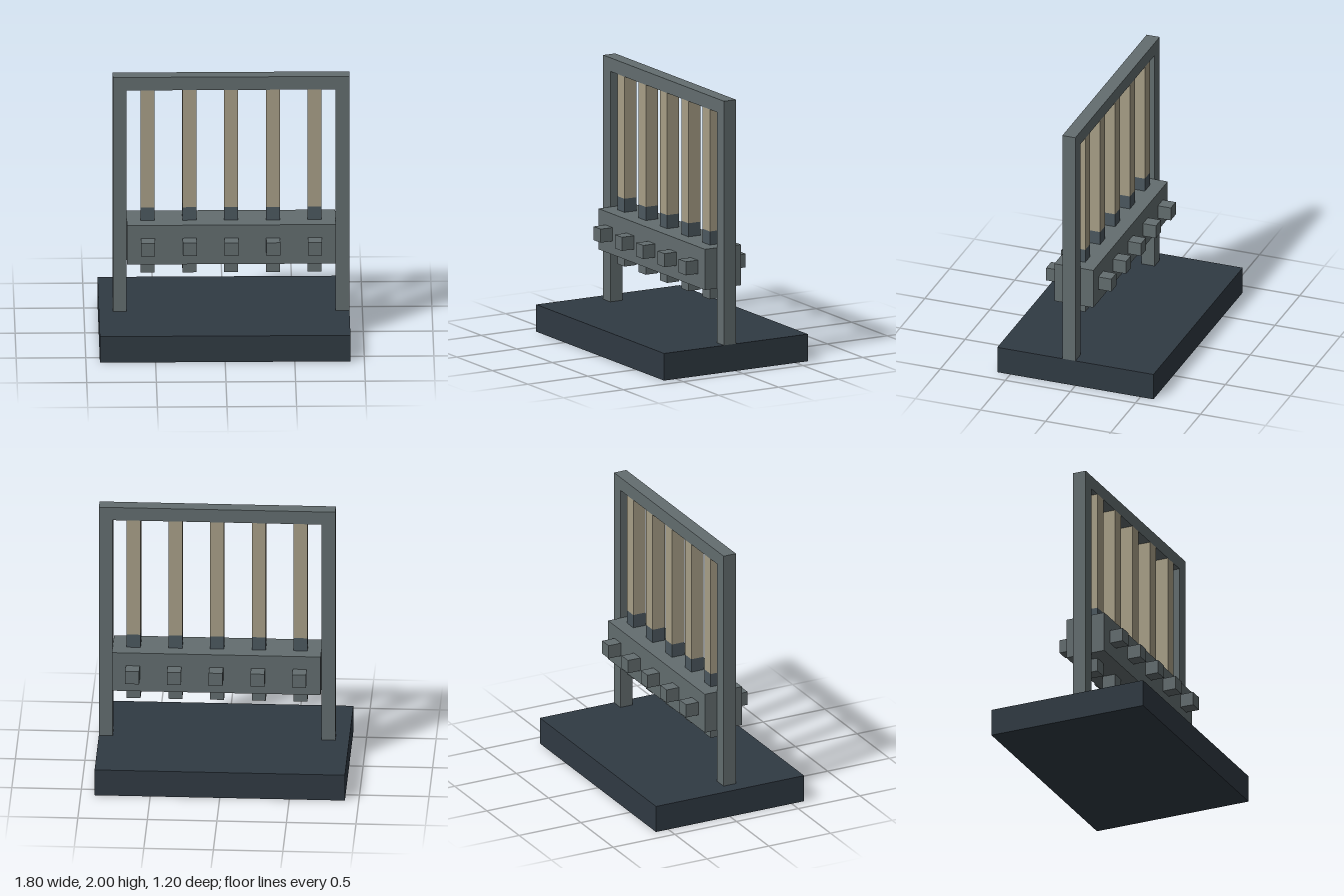
import * as THREE from 'three';

const material = (color) => new THREE.MeshStandardMaterial({ color, flatShading: true });

export function createModel() {
  const model = new THREE.Group();
  model.name = 'hangingBeamFrame';

  const stone = material(0x636d6f);
  const slate = material(0x303a43);
  const collarGrey = material(0x4c585f);
  const tan = material(0xa89f87);

  // Box given by its extents along each axis
  function block(name, mat, [x0, x1], [y0, y1], [z0, z1], parent = model) {
    const mesh = new THREE.Mesh(new THREE.BoxGeometry(x1 - x0, y1 - y0, z1 - z0), mat);
    mesh.position.set((x0 + x1) / 2, (y0 + y1) / 2, (z0 + z1) / 2);
    mesh.name = name;
    parent.add(mesh);
  }

  const thin = [0, 0.1]; // depth of the frame and rods

  // Base slab
  block('base', slate, [-0.9, 0.9], [0, 0.2], [-0.6, 0.6]);

  // Upright frame
  block('rightPost', stone, [-0.8, -0.7], [0.2, 1.9], thin);
  block('leftPost', stone, [0.8, 0.9], [0.2, 1.9], thin);
  block('topBar', stone, [-0.8, 0.9], [1.9, 2], thin);

  // Thick crossbeam between the posts
  block('crossbeam', stone, [-0.7, 0.8], [0.6, 0.9], [-0.1, 0.2]);

  // Five hanging rods, each with a collar, a lower stub and two pegs
  for (let i = 0; i < 5; i++) {
    const x = -0.6 + i * 0.3;
    const span = [x, x + 0.1];
    const hanger = new THREE.Group();
    hanger.name = `hanger${i + 1}`;
    block('rod', tan, span, [1, 1.9], thin, hanger);
    block('collar', collarGrey, span, [0.9, 1], thin, hanger);
    block('lowerStub', stone, span, [0.5, 0.6], thin, hanger);
    block('frontPeg', stone, span, [0.7, 0.8], [0.2, 0.3], hanger);
    block('backPeg', stone, span, [0.7, 0.8], [-0.2, -0.1], hanger);
    model.add(hanger);
  }

  return model;
}
